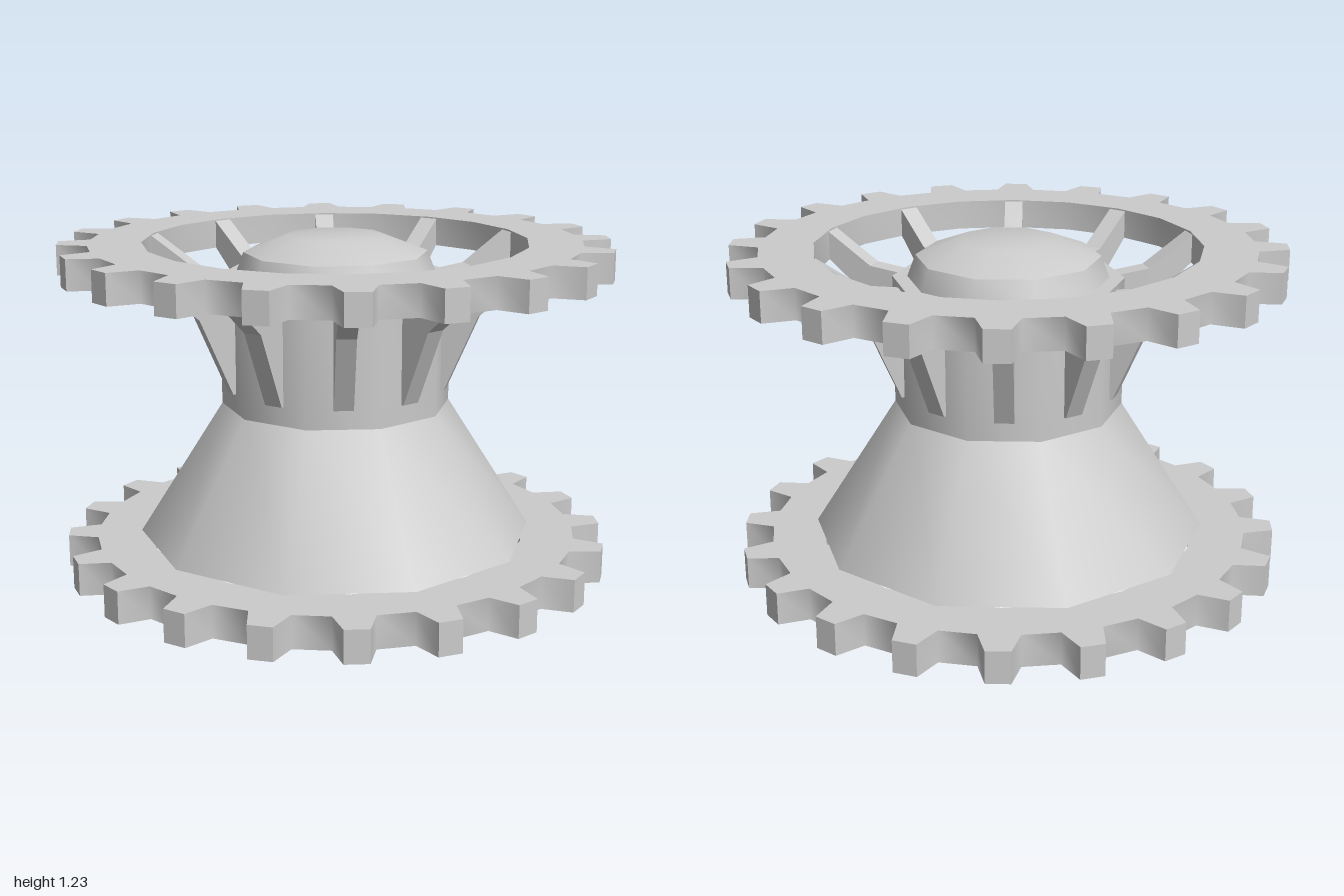
import * as THREE from 'three';
import { toCreasedNormals } from 'three/addons/utils/BufferGeometryUtils.js';

const material = new THREE.MeshStandardMaterial({ color: 0xcccccc, side: THREE.DoubleSide });

function addMesh(parent, geometry, name) {
  const mesh = new THREE.Mesh(geometry, material);
  mesh.name = name;
  parent.add(mesh);
  return mesh;
}

const polar = (r, deg) => {
  const a = THREE.MathUtils.degToRad(deg);
  return new THREE.Vector2(r * Math.cos(a), r * Math.sin(a));
};

// Ten-sided turned part with corners on the x axis
function turned(points) {
  const profile = points.map(([r, y]) => new THREE.Vector2(r, y));
  return toCreasedNormals(new THREE.LatheGeometry(profile, 10, Math.PI / 10), 0.7);
}

// Toothed ring with a 20-sided hole, lying flat with its underside at y = 0
function gearGeometry(height) {
  const outline = [], hole = [];
  for (let i = 0; i < 20; i++) {
    const a = i * 18;
    outline.push(polar(0.89, a - 4.7), polar(1, a - 2.5), polar(1, a + 2.5), polar(0.89, a + 4.7));
    hole.push(polar(0.7, -a));
  }
  const shape = new THREE.Shape(outline);
  shape.holes.push(new THREE.Path(hole));
  const geometry = new THREE.ExtrudeGeometry(shape, { depth: height, bevelEnabled: false });
  geometry.rotateX(-Math.PI / 2);
  return toCreasedNormals(geometry, 1.2);
}

export function createModel() {
  const model = new THREE.Group();
  model.name = 'gearedSpool';

  // Toothed rings
  addMesh(model, gearGeometry(0.12), 'lowerGear');
  addMesh(model, gearGeometry(0.11), 'upperGear').position.y = 1.1;

  // Hollow flared base
  addMesh(model, turned([[0.73, 0.12], [0.42, 0.61]]), 'flaredBase');

  // Central column with stepped rim and shallow domed cap
  addMesh(model, turned([
    [0, 0.25], [0.42, 0.25], [0.42, 1.09], [0.365, 1.09],
    [0.335, 1.17], [0.18, 1.23], [0, 1.23],
  ]), 'column');

  // Bent spokes joining the column to the upper gear
  const spokeShape = new THREE.Shape([
    [0.38, 0.68], [0.41, 0.68], [0.53, 0.96], [0.695, 1.1],
    [0.695, 1.205], [0.53, 1.09], [0.38, 1.07],
  ].map(([r, y]) => new THREE.Vector2(r, y)));
  const spokeGeometry = new THREE.ExtrudeGeometry(spokeShape, { depth: 0.07, bevelEnabled: false });
  spokeGeometry.translate(0, 0, -0.035);
  const spokes = new THREE.Group();
  spokes.name = 'spokes';
  for (let i = 0; i < 10; i++) {
    addMesh(spokes, spokeGeometry, 'spoke').rotation.y = (i + 0.5) * Math.PI / 5;
  }
  model.add(spokes);

  return model;
}
